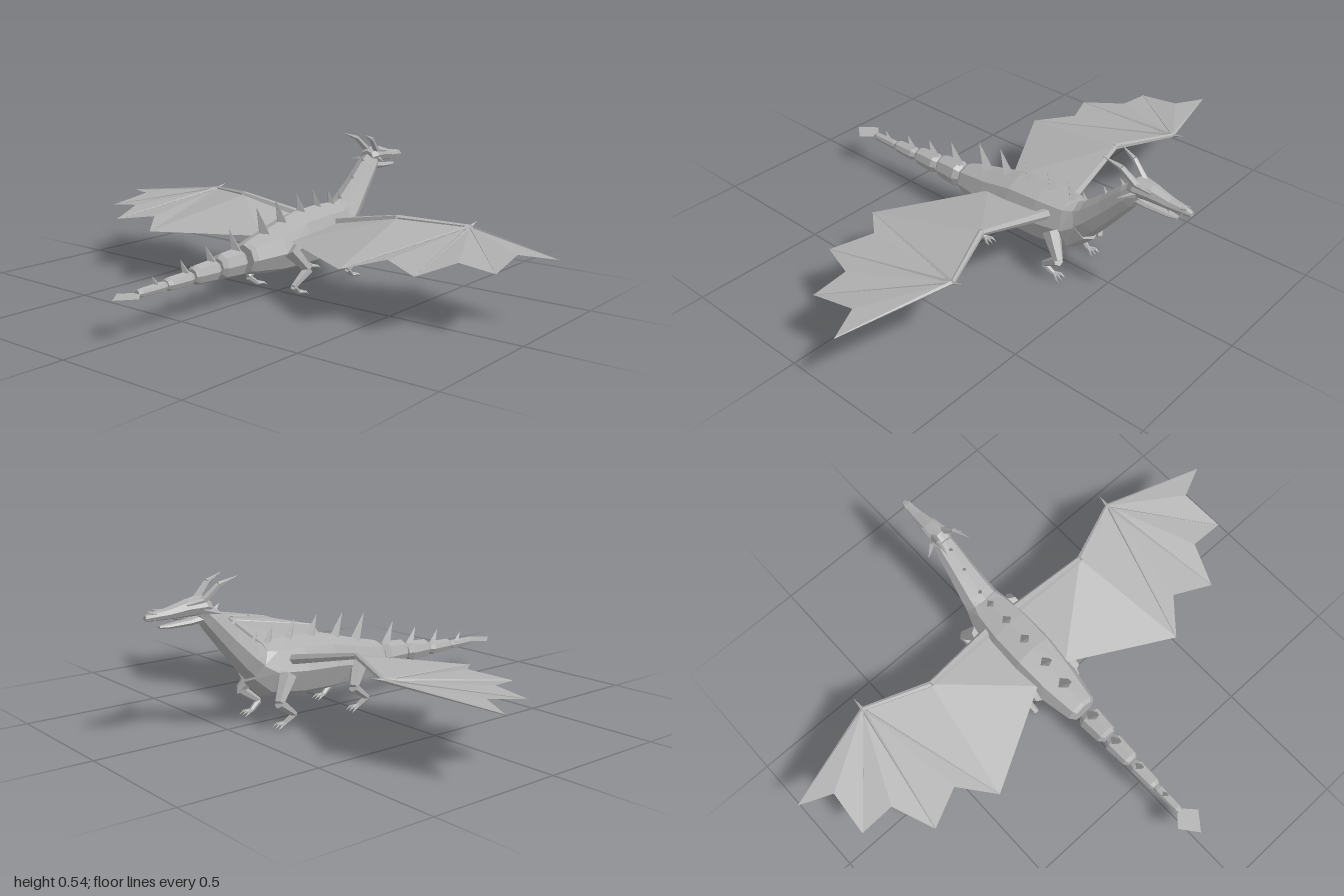
import * as THREE from 'three';

const stone = new THREE.MeshStandardMaterial({ color: 0xb0b0b0, flatShading: true, side: THREE.DoubleSide });
stone.name = 'stone grey';
const V = (p) => new THREE.Vector3(...p);

function add(parent, name, geometry) {
  const mesh = new THREE.Mesh(geometry, stone);
  mesh.name = name;
  parent.add(mesh);
  return mesh;
}

function triangles(points, faces) {
  const g = new THREE.BufferGeometry();
  g.setAttribute('position', new THREE.Float32BufferAttribute(points.flat(), 3));
  g.setIndex(faces.flat());
  const flat = g.toNonIndexed();
  flat.computeVertexNormals();
  return flat;
}

// Skin rings [z, y, halfWidth, halfHeight, tilt], listed from back to front
function loft(rings, sides = 8) {
  const pts = [], faces = [];
  for (const [z, y, rx, ry, tilt = 0] of rings) {
    for (let j = 0; j < sides; j++) {
      const a = (j / sides) * Math.PI * 2, up = ry * Math.cos(a);
      pts.push([rx * Math.sin(a), y + up * Math.cos(tilt), z + up * Math.sin(tilt)]);
    }
  }
  const last = (rings.length - 1) * sides;
  for (let i = 0; i < last; i += sides) {
    for (let j = 0; j < sides; j++) {
      const k = (j + 1) % sides;
      faces.push([i + j, i + k, i + sides + j], [i + k, i + sides + k, i + sides + j]);
    }
  }
  for (let j = 1; j < sides - 1; j++) faces.push([0, j + 1, j], [last, last + j, last + j + 1]);
  return triangles(pts, faces);
}

// Tapered bar between two points
function bone(parent, name, from, to, r1, r2, sides = 6) {
  const a = V(from), b = V(to), d = b.clone().sub(a);
  const mesh = add(parent, name, new THREE.CylinderGeometry(r2, r1, d.length(), sides));
  mesh.position.copy(a).add(b).multiplyScalar(0.5);
  mesh.quaternion.setFromUnitVectors(new THREE.Vector3(0, 1, 0), d.normalize());
  return mesh;
}

function makeWing(s) {
  const wing = new THREE.Group();
  wing.name = s > 0 ? 'leftWing' : 'rightWing';
  const P = (x, y, z) => [s * x, y, z];
  const shoulder = P(0.07, 0.225, -0.27), elbow = P(0.37, 0.288, -0.235), wrist = P(0.61, 0.272, -0.335);
  const tip = P(1, 0.235, -0.225), notch1 = P(0.88, 0.243, -0.17), finger2 = P(0.895, 0.215, 0);
  const notch2 = P(0.76, 0.23, 0), finger3 = P(0.695, 0.205, 0.16), notch3 = P(0.55, 0.225, 0.095);
  const finger4 = P(0.445, 0.2, 0.22), root = P(0.07, 0.2, 0.01);
  add(wing, 'wingMembrane', triangles(
    [shoulder, elbow, wrist, tip, notch1, finger2, notch2, finger3, notch3, finger4, root],
    (s > 0
      ? [[0, 10, 1], [1, 10, 9], [1, 9, 2], [2, 9, 8], [2, 8, 7], [2, 7, 6], [2, 6, 5], [2, 5, 4], [2, 4, 3]]
      : [[0, 1, 10], [1, 9, 10], [1, 2, 9], [2, 8, 9], [2, 7, 8], [2, 6, 7], [2, 5, 6], [2, 4, 5], [2, 3, 4]])));
  bone(wing, 'upperArm', shoulder, elbow, 0.02, 0.012);
  bone(wing, 'forearm', elbow, wrist, 0.012, 0.008);
  for (const end of [tip, finger2, finger3, finger4]) bone(wing, 'wingFinger', wrist, end, 0.007, 0.002, 4);
  bone(wing, 'wristClaw', wrist, P(0.61, 0.285, -0.38), 0.007, 0.0005, 4);
  return wing;
}

function makeLeg(name, s, z, hipX) {
  const leg = new THREE.Group();
  leg.name = name;
  const hip = [s * hipX, 0.175, z + 0.01], knee = [s * 0.118, 0.095, z - 0.05];
  const ankle = [s * 0.108, 0.042, z + 0.022], foot = [s * 0.1, 0.014, z - 0.015];
  bone(leg, 'thigh', hip, knee, 0.034, 0.018);
  bone(leg, 'shin', knee, ankle, 0.02, 0.011);
  bone(leg, 'foot', ankle, foot, 0.012, 0.009);
  for (const t of [-1, 0, 1]) {
    bone(leg, 'toe', foot, [foot[0] + t * 0.016, 0.012, z - 0.04], 0.008, 0.005, 5);
    bone(leg, 'claw', [foot[0] + t * 0.016, 0.012, z - 0.038], [foot[0] + t * 0.019, 0.001, z - 0.055], 0.005, 0.0005, 4);
  }
  return leg;
}

export function createModel() {
  const dragon = new THREE.Group();
  dragon.name = 'dragon';

  // Trunk and neck
  add(dragon, 'body', loft([
    [0.185, 0.155, 0.05, 0.053], [0.17, 0.157, 0.062, 0.06], [0.04, 0.163, 0.088, 0.085],
    [-0.09, 0.177, 0.1, 0.107], [-0.22, 0.182, 0.1, 0.11], [-0.34, 0.19, 0.085, 0.1, 0.2],
    [-0.39, 0.22, 0.068, 0.075, 0.55],
  ]));
  add(dragon, 'neck', loft([
    [-0.36, 0.2, 0.072, 0.075, 0.5], [-0.42, 0.25, 0.064, 0.06, 0.75], [-0.49, 0.32, 0.052, 0.05, 0.8],
    [-0.56, 0.395, 0.043, 0.042, 0.75], [-0.6, 0.435, 0.034, 0.032, 0.5],
  ]));

  // Tail: four barrel segments [back, front, y, halfWidth, halfHeight] and a flat fin
  const tail = [
    [0.32, 0.2, 0.153, 0.048, 0.053], [0.445, 0.327, 0.148, 0.038, 0.04],
    [0.57, 0.45, 0.143, 0.028, 0.027], [0.695, 0.565, 0.14, 0.017, 0.018],
  ];
  for (const [b, f, y, w, h] of tail) {
    add(dragon, 'tailSegment', loft([
      [b, y, w * 0.6, h * 0.6], [b - 0.015, y, w * 0.88, h * 0.88],
      [f + 0.02, y, w, h], [f, y, w * 0.7, h * 0.7],
    ]));
  }
  add(dragon, 'tailFin', triangles(
    [[0, 0.14, 0.68], [0.052, 0.14, 0.735], [0, 0.14, 0.8], [-0.052, 0.14, 0.735]], [[0, 2, 1], [0, 3, 2]]));

  // Head
  const head = new THREE.Group();
  head.name = 'head';
  dragon.add(head);
  add(head, 'skull', loft([
    [-0.565, 0.438, 0.03, 0.024], [-0.59, 0.445, 0.042, 0.034], [-0.65, 0.443, 0.034, 0.03],
    [-0.72, 0.433, 0.024, 0.02], [-0.775, 0.43, 0.017, 0.015], [-0.8, 0.427, 0.01, 0.009],
  ]));
  add(head, 'lowerJaw', loft([
    [-0.58, 0.405, 0.03, 0.018], [-0.64, 0.395, 0.024, 0.012], [-0.72, 0.391, 0.016, 0.009], [-0.75, 0.392, 0.009, 0.005],
  ]));
  for (const s of [-1, 1]) {
    bone(head, 'hornBase', [s * 0.022, 0.46, -0.6], [s * 0.036, 0.513, -0.545], 0.014, 0.01);
    bone(head, 'hornTip', [s * 0.036, 0.513, -0.545], [s * 0.05, 0.537, -0.48], 0.01, 0.001);
    bone(head, 'cheekSpike', [s * 0.03, 0.43, -0.6], [s * 0.08, 0.425, -0.565], 0.011, 0.001, 4);
    bone(head, 'brow', [s * 0.028, 0.464, -0.6], [s * 0.026, 0.456, -0.66], 0.009, 0.004, 5);
    bone(head, 'nostril', [s * 0.01, 0.438, -0.765], [s * 0.009, 0.443, -0.785], 0.006, 0.003, 5);
    for (const z of [-0.72, -0.77]) bone(head, 'fang', [s * 0.013, 0.425, z], [s * 0.013, 0.402, z], 0.004, 0.0005, 4);

    dragon.add(makeWing(s));
    const side = s > 0 ? 'left' : 'right';
    dragon.add(makeLeg(side + 'FrontLeg', s, -0.315, 0.085));
    dragon.add(makeLeg(side + 'HindLeg', s, 0.015, 0.08));
  }

  // Back spikes: base z, base y, tip z, tip y, radius
  const spikes = [
    [0.61, 0.148, 0.63, 0.185, 0.012], [0.475, 0.16, 0.5, 0.215, 0.016], [0.35, 0.175, 0.38, 0.24, 0.02],
    [0.225, 0.19, 0.26, 0.277, 0.024], [0.07, 0.225, 0.115, 0.332, 0.026], [-0.03, 0.25, 0.01, 0.346, 0.024],
    [-0.14, 0.275, -0.11, 0.354, 0.022], [-0.24, 0.28, -0.21, 0.352, 0.02], [-0.33, 0.275, -0.305, 0.34, 0.018],
    [-0.395, 0.275, -0.37, 0.328, 0.015], [-0.48, 0.345, -0.455, 0.386, 0.014], [-0.545, 0.415, -0.52, 0.445, 0.012],
  ];
  for (const [z, y, tz, ty, r] of spikes) bone(dragon, 'backSpike', [0, y, z], [0, ty, tz], r, 0.0005, 4);

  return dragon;
}
